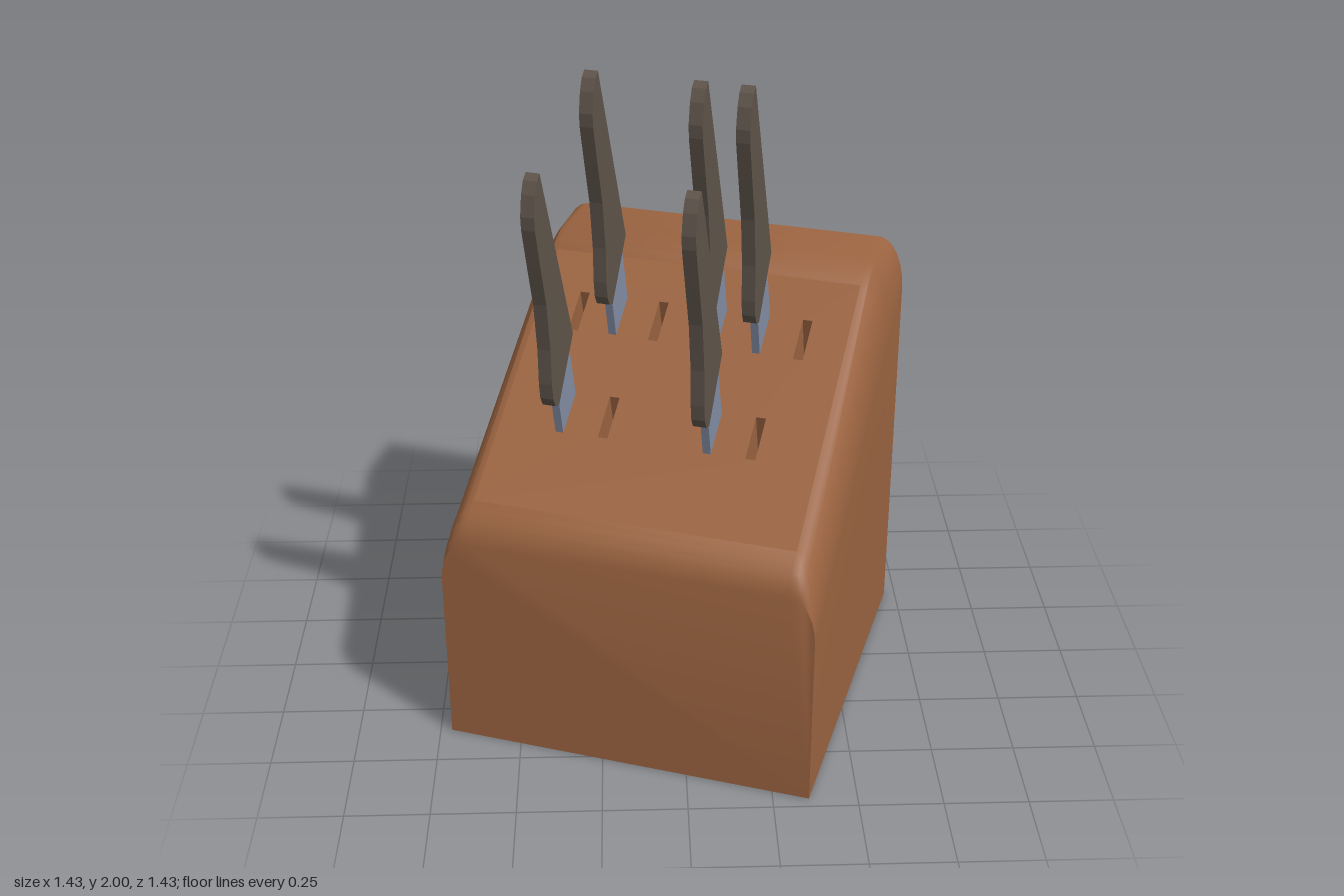
import * as THREE from 'three';
import { toCreasedNormals } from 'three/addons/utils/BufferGeometryUtils.js';

const HALF = 0.565;   // half the side of the square block
const INNER = 0.485;  // half width of the top before its sides round over
const ARC = 6;        // segments of each rounded side edge
const DEPTH = 0.45;   // depth of the knife slots

// Top outline of the block, front to back, as [z, y]
const TOP = [
  [HALF, 0.69], [0.556, 0.722], [0.537, 0.753], [0.51, 0.776], [0.48, 0.79],
  [-0.28, 1.275], [-0.32, 1.298], [-0.36, 1.313], [-0.4, 1.32], [-HALF, 1.32],
];
const SLOPE = 4; // the segment of TOP that carries the slotted panel

// Cross-section at z: upright sides, rounded shoulders, flat top
function section([z, y]) {
  const edge = 0.85 - 0.3 * z / HALF;
  const right = [[HALF, 0]];
  for (let i = 0; i <= ARC; i++) {
    const a = (i / ARC) * Math.PI / 2;
    right.push([INNER + (HALF - INNER) * Math.cos(a), edge + (y - edge) * Math.sin(a)]);
  }
  const left = right.map(([px, py]) => [-px, py]).reverse();
  return [...right, ...left].map(([px, py]) => new THREE.Vector3(px, py, z));
}

function blockGeometry() {
  const rings = TOP.map(section);
  const n = rings[0].length;
  const pts = [];
  for (let i = 0; i < rings.length - 1; i++) {
    for (let j = 0; j < n; j++) {
      if (i === SLOPE && j === ARC + 1) continue; // left open for the panel
      const k = (j + 1) % n;
      const a = rings[i][j], b = rings[i][k], c = rings[i + 1][k], d = rings[i + 1][j];
      pts.push(a, d, c, a, c, b);
    }
  }
  const front = rings[0], back = rings[rings.length - 1];
  for (let j = 1; j < n - 1; j++) {
    pts.push(front[0], front[j], front[j + 1], back[0], back[j + 1], back[j]);
  }
  return toCreasedNormals(new THREE.BufferGeometry().setFromPoints(pts), 0.5);
}

// Closed 2D outline
const outline = (pts, Type = THREE.Shape) => new Type(pts.map(([x, y]) => new THREE.Vector2(x, y)));

// Side profile drawn as [z, y], given a thickness along x
function sideCut(pts, thickness) {
  const geo = new THREE.ExtrudeGeometry(outline(pts), { depth: thickness, bevelEnabled: false });
  return geo.translate(0, 0, -thickness / 2).rotateY(-Math.PI / 2);
}

export function createModel() {
  const wood = new THREE.MeshStandardMaterial({ color: 0x9a6340 });
  const handleMat = new THREE.MeshStandardMaterial({ color: 0x5e534a });
  const steel = new THREE.MeshStandardMaterial({ color: 0x838ca4 });
  wood.name = 'wood';
  handleMat.name = 'darkHandle';
  steel.name = 'steel';

  const model = new THREE.Group();
  model.name = 'knifeBlock';
  const add = (parent, name, geo, mat) => {
    const mesh = new THREE.Mesh(geo, mat);
    mesh.name = name;
    parent.add(mesh);
    return mesh;
  };

  add(model, 'block', blockGeometry(), wood);

  // Sloping panel with the empty slots cut through it
  const [z0, y0] = TOP[SLOPE], [z1, y1] = TOP[SLOPE + 1];
  const length = Math.hypot(z0 - z1, y1 - y0);
  const cos = (z0 - z1) / length, sin = (y1 - y0) / length;
  const panel = outline([[-INNER, 0], [INNER, 0], [INNER, length], [-INNER, length]]);
  const emptySlots = [[-0.353, -0.098], [-0.098, -0.098], [0.353, -0.098], [-0.161, 0.198], [0.289, 0.198]];
  for (const [x, z] of emptySlots) {
    const v = (z0 - z) / cos, hw = 0.015, hl = 0.059 / cos;
    panel.holes.push(outline([[x - hw, v - hl], [x - hw, v + hl], [x + hw, v + hl], [x + hw, v - hl]], THREE.Path));
  }
  const panelGeo = new THREE.ExtrudeGeometry(panel, { depth: DEPTH, bevelEnabled: false });
  const floorGeo = new THREE.BoxGeometry(2 * INNER, length, 0.01).translate(0, length / 2, -0.005);
  // Lean the slots to the blade angle, then lay the panel on the slope
  const place = new THREE.Matrix4().makeBasis(
    new THREE.Vector3(1, 0, 0), new THREE.Vector3(0, sin, -cos), new THREE.Vector3(0, cos, sin),
  ).setPosition(0, y0, z0);
  for (const geo of [panelGeo, floorGeo]) {
    geo.translate(0, 0, -DEPTH);
    const p = geo.attributes.position;
    for (let i = 0; i < p.count; i++) p.setY(i, p.getY(i) + 0.336 * p.getZ(i));
    geo.computeVertexNormals();
    geo.applyMatrix4(place);
  }
  add(model, 'slottedPanel', panelGeo, wood);
  add(model, 'slotFloor', floorGeo, wood);

  // Knives: one profile, repeated in a front and a rear row
  const handleGeo = sideCut([
    [0.396, 1.8], [0.174, 1.22], [0.306, 1.05], [0.335, 1.06], [0.352, 1.09], [0.359, 1.14], [0.36, 1.25],
    [0.38, 1.4], [0.415, 1.53], [0.446, 1.65], [0.449, 1.69], [0.436, 1.75], [0.418, 1.785],
  ].reverse(), 0.04);
  const bladeGeo = sideCut([[0.105, 0.85], [0.222, 0.78], [0.297, 1.09], [0.197, 1.22]], 0.024);
  const rear = [-0.298, 0.2], frontRow = [0, 0];
  const knives = [[-0.295, frontRow], [0.159, frontRow], [-0.227, rear], [0.09, rear], [0.224, rear]];
  for (const [x, [dz, dy]] of knives) {
    const knife = new THREE.Group();
    knife.name = 'knife';
    knife.position.set(x, dy, dz);
    add(knife, 'handle', handleGeo, handleMat);
    add(knife, 'blade', bladeGeo, steel);
    model.add(knife);
  }

  // The whole block stands turned on its base
  model.rotation.y = -0.323;
  const root = new THREE.Group();
  root.name = 'knifeBlockSet';
  root.add(model);
  return root;
}
